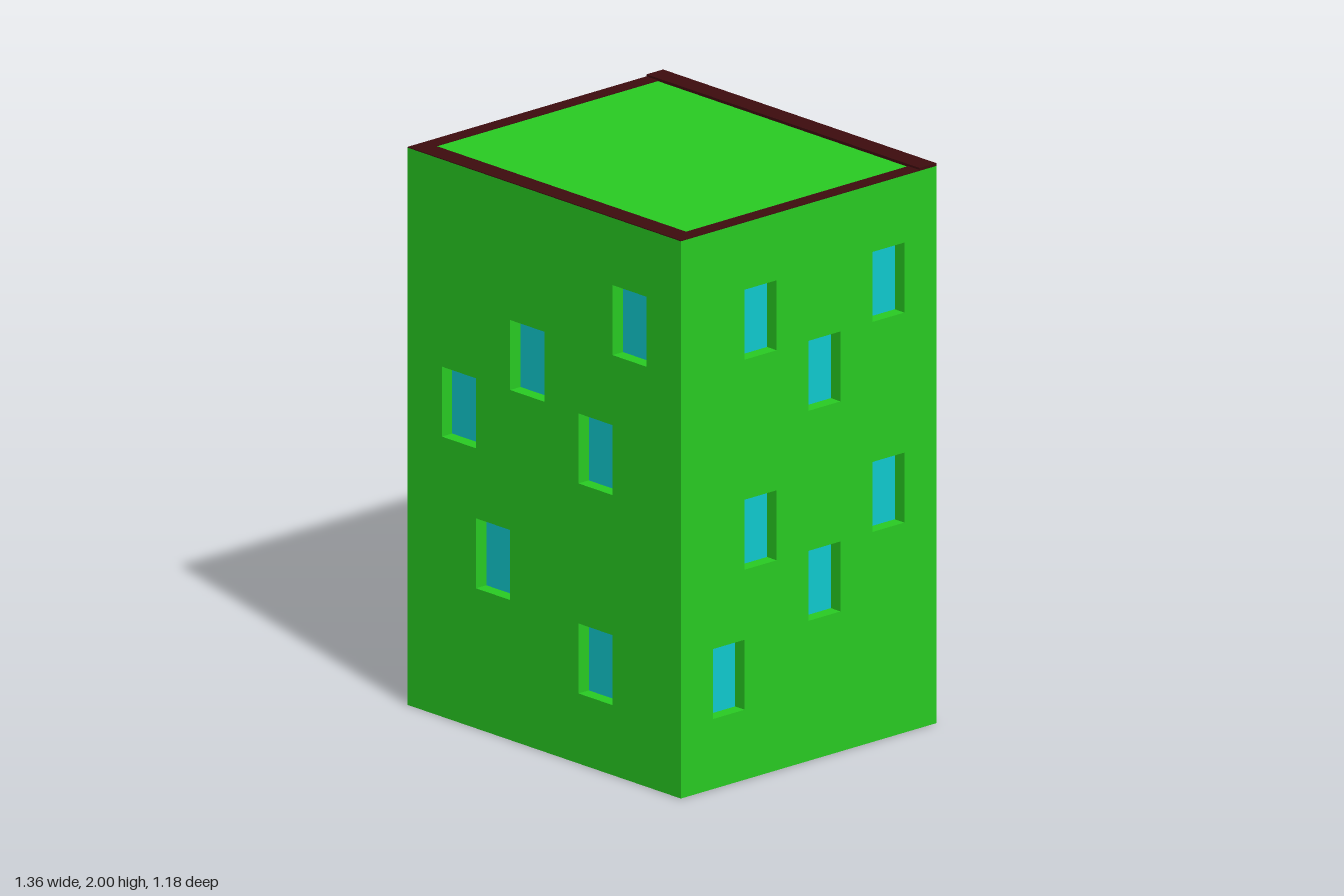
import * as THREE from 'three';

const W = 1.36, D = 1.18, H = 1.99, T = 0.05; // width, depth, wall height, wall thickness
const WINDOW_H = 0.25;

const green = new THREE.MeshStandardMaterial({ color: 0x29cc23 });
const cyan = new THREE.MeshStandardMaterial({ color: 0x10cbd0 });
const maroon = new THREE.MeshStandardMaterial({ color: 0x3e0c0e });

function add(parent, name, geometry, material, x = 0, y = 0, z = 0) {
  const mesh = new THREE.Mesh(geometry, material);
  mesh.name = name;
  mesh.position.set(x, y, z);
  parent.add(mesh);
}

// Rectangle as a closed run of points, for walls and window holes
function rect(PathType, x0, y0, x1, y1) {
  return new PathType([[x0, y0], [x1, y0], [x1, y1], [x0, y1]].map(p => new THREE.Vector2(...p)));
}

// One wall facing +z, with recessed windows placed on eight columns.
// Each window is [column from the left, sill height].
function makeWall(name, faceWidth, wallWidth, windows) {
  const wall = new THREE.Group();
  wall.name = name;
  const shape = rect(THREE.Shape, -wallWidth / 2, 0, wallWidth / 2, H);
  const col = faceWidth / 8;
  for (const [c, sill] of windows) {
    const x = -faceWidth / 2 + c * col;
    shape.holes.push(rect(THREE.Path, x, sill, x + col, sill + WINDOW_H));
    add(wall, 'windowPane', new THREE.BoxGeometry(col, WINDOW_H, 0.004), cyan,
      x + col / 2, sill + WINDOW_H / 2, 0);
  }
  add(wall, 'wallPanel', new THREE.ExtrudeGeometry(shape, { depth: T, bevelEnabled: false }), green);
  return wall;
}

export function createModel() {
  const building = new THREE.Group();
  building.name = 'building';

  // Solid core behind the walls, closing the roof and floor
  add(building, 'core', new THREE.BoxGeometry(W - 2 * T, H, D - 2 * T), green, 0, H / 2, 0);

  // Four walls, turned to face outward
  const walls = [
    ['frontWall', 0, [[6, 1.5], [3, 1.25], [1, 1], [5, 1], [2, 0.5], [5, 0.25]]],
    ['plusXWall', 1, [[2, 1.5], [6, 1.5], [4, 1.25], [2, 0.75], [6, 0.75], [4, 0.5], [1, 0.25]]],
    ['backWall', 2, [[2, 1.5], [6, 1.5], [2, 1], [4, 0.75], [2, 0.25], [6, 0.25]]],
    ['minusXWall', 3, [[3, 1.5], [6, 1.5], [2, 1], [5, 0.75], [3, 0.5], [6, 0.25], [1, 0.25]]],
  ];
  for (const [name, turn, windows] of walls) {
    const side = turn % 2 === 1;
    const wall = makeWall(name, side ? D : W, side ? D - 2 * T : W, windows);
    const angle = turn * Math.PI / 2;
    const offset = (side ? W : D) / 2 - T;
    wall.rotation.y = angle;
    wall.position.set(Math.sin(angle) * offset, 0, Math.cos(angle) * offset);
    building.add(wall);
  }

  // Flat roof border, with a slightly raised back strip
  const bx = 0.057, bz = 0.077, thin = 0.003;
  add(building, 'roofBorderBack', new THREE.BoxGeometry(W, 0.01, bz), maroon, 0, H + 0.005, -(D - bz) / 2);
  add(building, 'roofBorderFront', new THREE.BoxGeometry(W, thin, bz), maroon, 0, H + thin / 2, (D - bz) / 2);
  for (const s of [-1, 1]) {
    add(building, 'roofBorderSide', new THREE.BoxGeometry(bx, thin, D - 2 * bz), maroon,
      s * (W - bx) / 2, H + thin / 2, 0);
  }
  return building;
}
